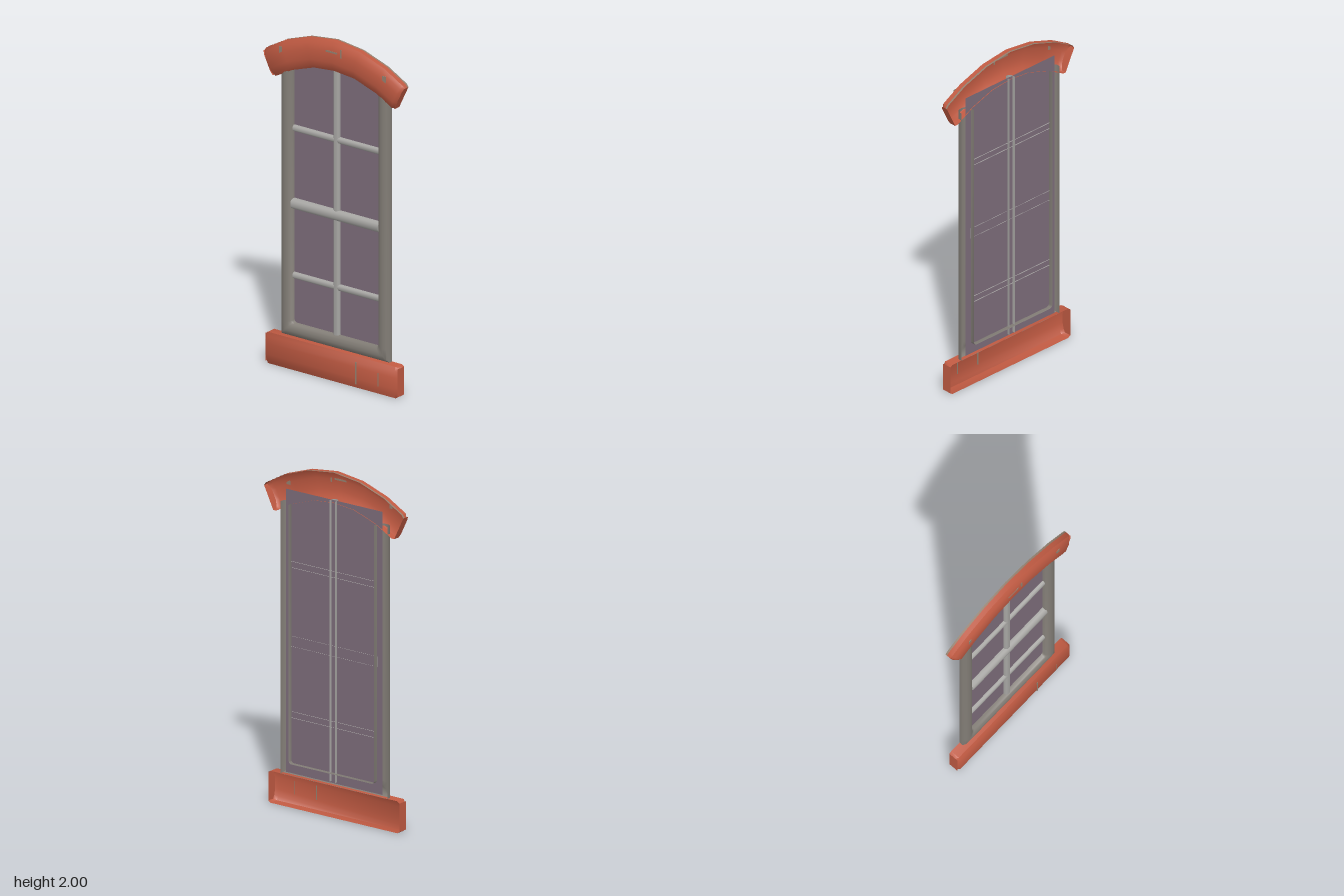
import * as THREE from 'three';
import { toCreasedNormals } from 'three/addons/utils/BufferGeometryUtils.js';

const material = (name, color, side = THREE.DoubleSide) =>
  new THREE.MeshStandardMaterial({ name, color, side });

// Sweeps an open [u, z] profile through stations [px, py, nx, ny, frontInset].
// Each point lies at p + u * n, so the shell stays open at the back.
function sweep(profile, stations, capped = false) {
  const pos = [], index = [], n = profile.length;
  for (const [px, py, nx, ny, inset = 0] of stations)
    for (const [u, z] of profile)
      pos.push(px + u * nx, py + u * ny, z > 0 ? z - Math.min(inset, z) : z);
  for (let s = 0; s < stations.length - 1; s++)
    for (let i = 0; i < n - 1; i++) {
      const a = s * n + i, b = a + n;
      index.push(a, b, b + 1, a, b + 1, a + 1);
    }
  if (capped) {
    const e = (stations.length - 1) * n;
    for (let i = 1; i < n - 1; i++)
      index.push(0, i, i + 1, e, e + i + 1, e + i);
  }
  const geo = new THREE.BufferGeometry();
  geo.setAttribute('position', new THREE.Float32BufferAttribute(pos, 3));
  geo.setIndex(index);
  return toCreasedNormals(geo, 0.9);
}

// Rounded channel section from u = 0 to 1
const channel = (back, shoulder, front) => [
  [0, back], [0, shoulder], [0.12, shoulder + (front - shoulder) * 0.6],
  [0.32, front], [0.68, front],
  [0.88, shoulder + (front - shoulder) * 0.6], [1, shoulder], [1, back],
];

export function createModel() {
  const group = new THREE.Group();
  const brick = material('brick red', 0xc05a42);
  const frameGrey = material('frame grey', 0x827d76);
  const barGrey = material('bar light grey', 0xa6a5a2);
  const glassTint = material('glass mauve', 0x7c6c7a);
  const worn = material('worn mortar', 0x93806f);
  const add = (name, geo, mat) => {
    const mesh = new THREE.Mesh(geo, mat);
    mesh.name = name;
    group.add(mesh);
    return mesh;
  };

  // Arched brick lintel: inner and outer points from the centre to the right end
  const half = [
    [0, 1.825, 0, 2.0], [0.14, 1.812, 0.18, 1.978],
    [0.29, 1.762, 0.35, 1.92], [0.405, 1.7, 0.475, 1.85],
  ];
  const right = half.map(([x, y, X, Y]) => [x, y, X - x, Y - y]);
  right.push([0.424, 1.7, 0.064, 0.132, 0.014]);
  const mirrored = right.slice(1).reverse().map(([x, y, nx, ny, d]) => [-x, y, -nx, ny, d]);
  const arch = [...mirrored, ...right];
  add('archedLintel', sweep(channel(-0.028, 0.01, 0.034), arch, false), brick);
  for (const s of [-1, 1]) {
    const [x, y, nx, ny] = right[right.length - 1];
    // end walls of the lintel
    add('lintelEnd', sweep([[0, -0.028], [0, 0.012], [0.15, 0.02], [0.85, 0.02], [1, 0.012], [1, -0.028]],
      [[s * x, y, s * nx, ny], [s * (x + 0.001), y, s * nx, ny]], true), brick);
  }
  add('lintelBackRim', sweep([[1.006, -0.018], [1.006, -0.029]], arch), worn);

  // Brick sill, hollow behind
  add('sill', sweep(channel(-0.027, 0.03, 0.047), [
    [-0.46, 0.01, 0, 0.165, 0.014], [-0.445, 0, 0, 0.185],
    [0.445, 0, 0, 0.185], [0.46, 0.01, 0, 0.165, 0.014],
  ]), brick);
  for (const s of [-1, 1]) {
    const wall = add('sillEnd', new THREE.PlaneGeometry(0.06, 0.165), brick);
    wall.position.set(s * 0.46, 0.0925, 0.003);
    wall.rotation.y = s * Math.PI / 2;
  }

  // Worn marks: x, y, z, width, height
  for (const [x, y, z, w, h] of [
    [0.18, 0.092, 0.047, 0.008, 0.13], [0.335, 0.09, 0.047, 0.004, 0.08],
    [0, 1.942, 0.033, 0.08, 0.01], [0.065, 1.945, 0.033, 0.01, 0.05],
    [-0.355, 1.87, 0.032, 0.018, 0.045], [0.365, 1.865, 0.032, 0.025, 0.04],
  ]) add('wornMark', new THREE.BoxGeometry(w, h, 0.003), worn).position.set(x, y, z);

  // U-shaped frame with a deep inner lip
  add('frame', sweep([
    [0, -0.05], [0, -0.004], [0.1, 0.005], [0.3, 0.013], [0.55, 0.015],
    [0.82, 0.009], [1, -0.004], [1, -0.027],
  ], [
    [0.3, 1.76, 0.076, 0], [0.3, 0.275, 0.076, -0.02], [0.295, 0.265, 0.081, -0.08],
    [0.285, 0.26, 0.07, -0.076], [-0.285, 0.26, -0.07, -0.076],
    [-0.295, 0.265, -0.081, -0.08], [-0.3, 0.275, -0.076, -0.02], [-0.3, 1.76, -0.076, 0],
  ]), frameGrey);

  // Glass pane
  add('glass', new THREE.PlaneGeometry(0.68, 1.64), glassTint).position.set(0, 1.02, -0.024);

  // Glazing bars, open at the back and passing through the glass
  add('verticalBar', sweep(channel(-0.042, -0.014, -0.002),
    [[0.02, 0.21, -0.04, 0], [0.02, 1.84, -0.04, 0]]), barGrey);
  for (const y of [0.54, 1.41])
    add('crossBar', sweep(channel(-0.029, -0.014, -0.004),
      [[-0.3, y - 0.018, 0, 0.036], [0.3, y - 0.018, 0, 0.036]]), barGrey);
  add('meetingRail', sweep(channel(-0.027, -0.008, 0.01),
    [[-0.304, 0.935, 0, 0.06], [0.304, 0.935, 0, 0.06]], true), barGrey);

  return group;
}
